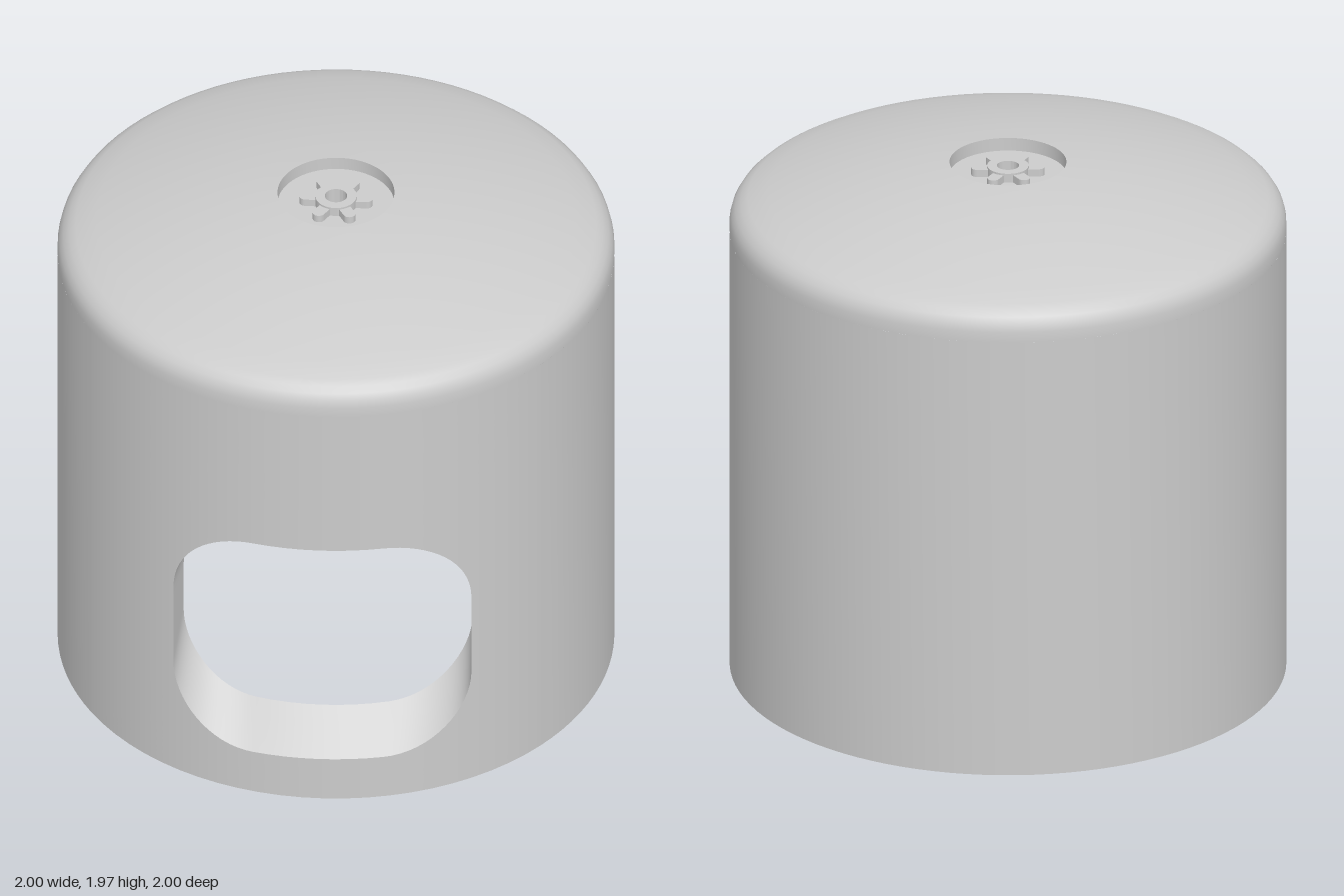
import * as THREE from 'three';
import { toCreasedNormals } from 'three/addons/utils/BufferGeometryUtils.js';

const mat = new THREE.MeshStandardMaterial({ color: 0xcccccc });
const matDouble = new THREE.MeshStandardMaterial({ color: 0xcccccc, side: THREE.DoubleSide });

const R = 1, RI = 0.963, RS = 0.84;   // outer wall, inner wall, inner end of the window sleeve
const H = 1.7;                        // height of the straight wall
const A = 0.95;                       // half angle of the front wall panel that holds the window
const ARC = 16, LINE = 8, Q = ARC + LINE, N = 4 * Q;

// Rounded rectangle, counter-clockwise from the lower right corner
function outline(x0, x1, y0, y1, r) {
  const centres = [[x1 - r, y0 + r], [x1 - r, y1 - r], [x0 + r, y1 - r], [x0 + r, y0 + r]];
  const onArc = (k, f) => {
    const a = (k - 1 + f) * Math.PI / 2, c = centres[k % 4];
    return new THREE.Vector2(c[0] + r * Math.cos(a), c[1] + r * Math.sin(a));
  };
  const pts = [];
  for (let k = 0; k < 4; k++) {
    for (let i = 0; i < ARC; i++) pts.push(onArc(k, i / ARC));
    for (let i = 0; i < LINE; i++) pts.push(onArc(k, 1).lerp(onArc(k + 1, 0), i / LINE));
  }
  return pts;
}
const windowOuter = outline(-0.48, 0.59, 0.175, 1.105, 0.3);
const windowInner = outline(-0.465, 0.57, 0.3, 1.06, 0.28);
const windowAt = (t) => windowOuter.map((p, i) => p.clone().lerp(windowInner[i], t));
const wrap = (p, r) => [p.x, p.y, Math.sqrt(r * r - p.x * p.x)];

// Closed rings of points joined into a surface
function loft(rings, flip) {
  const n = rings[0].length, index = [];
  for (let j = 0; j < rings.length - 1; j++)
    for (let i = 0; i < n; i++) {
      const a = j * n + i, b = j * n + (i + 1) % n, c = a + n, d = b + n;
      if (flip) index.push(a, b, c, b, d, c);
      else index.push(a, c, b, b, c, d);
    }
  const g = new THREE.BufferGeometry();
  g.setAttribute('position', new THREE.Float32BufferAttribute(rings.flat(2), 3));
  g.setIndex(index);
  g.computeVertexNormals();
  return g;
}

// Curved front panel: spreads from the window outline to a rectangle, wrapped on radius r
function frontPanel(hole, r, inward) {
  const corners = [[A, 0], [A, H], [-A, H], [-A, 0]];
  const rings = [];
  for (let j = 0; j <= 8; j++) {
    const ring = [];
    for (let i = 0; i < N; i++) {
      const s = (i - ARC / 2 + N) % N, k = Math.floor(s / Q), f = (s % Q) / Q;
      const c = corners[k], d = corners[(k + 1) % 4], t = j / 8;
      const u = THREE.MathUtils.lerp(Math.asin(hole[i].x / r), c[0] + (d[0] - c[0]) * f, t);
      const y = THREE.MathUtils.lerp(hole[i].y, c[1] + (d[1] - c[1]) * f, t);
      ring.push([r * Math.sin(u), y, r * Math.cos(u)]);
    }
    rings.push(ring);
  }
  const g = loft(rings, inward);
  const p = g.attributes.position, sign = inward ? -1 : 1;
  for (let i = 0; i < p.count; i++)
    g.attributes.normal.setXYZ(i, sign * p.getX(i) / r, 0, sign * p.getZ(i) / r);
  return g;
}

function lathe(points, segments, start = 0, length = Math.PI * 2) {
  const pts = points.map(([x, y]) => new THREE.Vector2(x, y));
  return toCreasedNormals(new THREE.LatheGeometry(pts, segments, start, length), 0.5);
}

export function createModel() {
  const group = new THREE.Group();
  const add = (name, geometry, material = mat) => {
    const m = new THREE.Mesh(geometry, material);
    m.name = name;
    group.add(m);
    return m;
  };

  // Cylindrical wall: front panels with the window, the rest turned
  const back = Math.PI * 2 - 2 * A;
  add('frontWallOuter', frontPanel(windowOuter, R, false));
  add('frontWallInner', frontPanel(windowAt((R - RI) / (R - RS)), RI, true));
  add('wallOuter', lathe([[R, 0], [R, H]], 72, A, back));
  add('wallInner', lathe([[RI, H], [RI, 0]], 72, A, back));
  add('bottomRim', lathe([[RI, 0], [R, 0]], 96));

  // Window sleeve reaching into the body, its floor sloping up
  const steps = [0, 0.08, 0.23, 0.6, 1];
  const sleeve = steps.map((t) => windowAt(t).map((p) => wrap(p, R - t * (R - RS))));
  add('windowSleeve', loft(sleeve, true), matDouble);

  // Domed cap with soft shoulder, round recess, hub, vent hole and underside
  const dome = (r, top) => [r, top - r * r / 5.8];
  const cap = [[R, H], [R, 1.74], [0.993, 1.768], [0.98, 1.79], [0.96, 1.809], [0.935, 1.823]];
  for (let i = 1; i <= 10; i++) cap.push(dome(0.935 - 0.0725 * i, 1.975));
  cap.push([0.21, 1.918], [0.075, 1.918], [0.075, 1.953], [0.04, 1.953], [0.04, 1.875]);
  for (let i = 1; i <= 8; i++) cap.push(dome(0.04 + (RI - 0.04) * i / 8, 1.875));
  add('domedCap', lathe(cap, 96));

  // Six round-ended ribs around the hub
  const rib = new THREE.Shape();
  rib.moveTo(0.06, -0.022);
  rib.lineTo(0.11, -0.022);
  rib.absarc(0.11, 0, 0.022, -Math.PI / 2, Math.PI / 2, false);
  rib.lineTo(0.06, 0.022);
  const ribGeometry = new THREE.ExtrudeGeometry(rib, { depth: 0.03, bevelEnabled: false, curveSegments: 10 });
  ribGeometry.rotateX(-Math.PI / 2);
  for (let i = 0; i < 6; i++) {
    const m = add('hubRib', ribGeometry);
    m.position.y = 1.916;
    m.rotation.y = 0.05 + i * Math.PI / 3;
  }
  return group;
}
